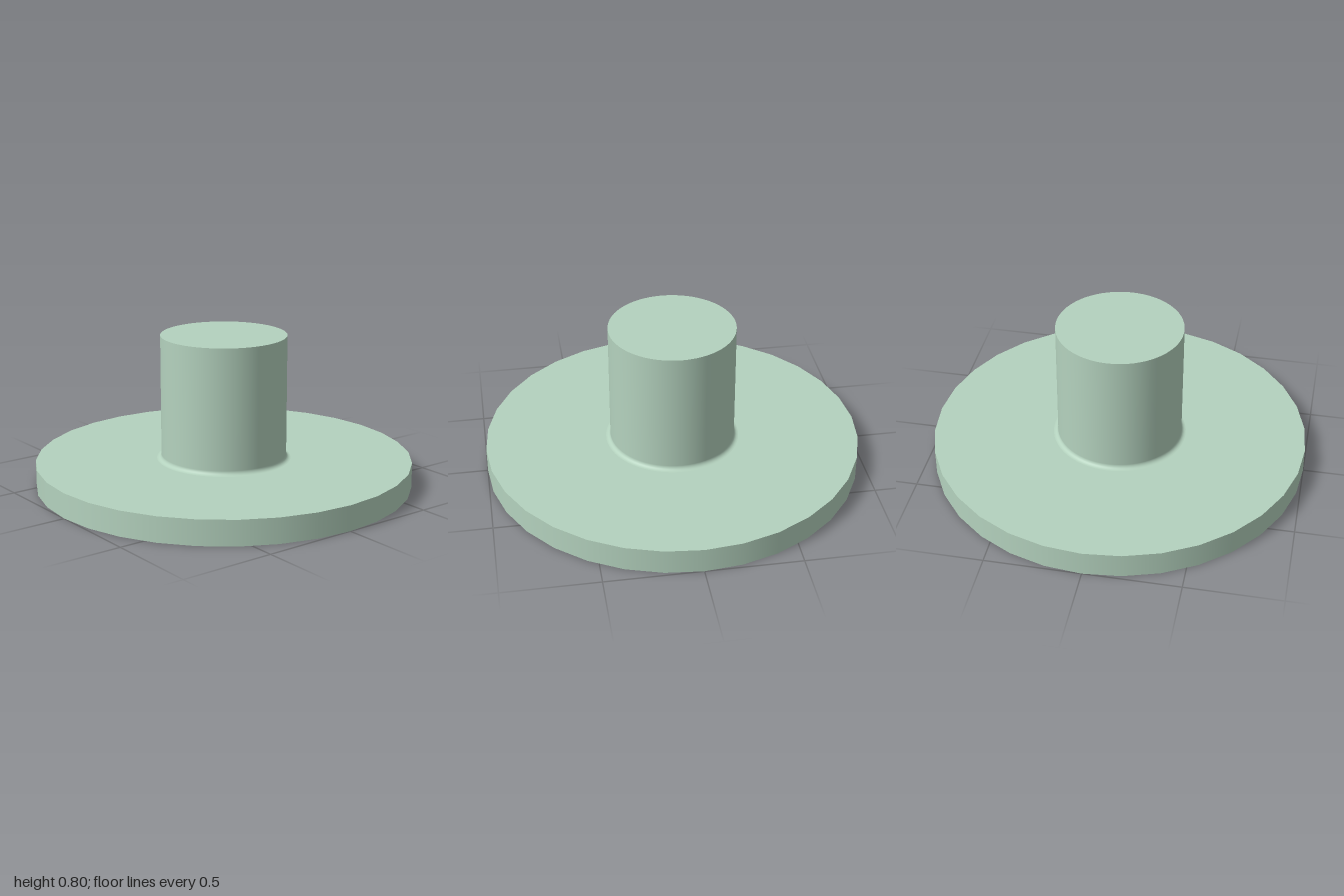
import * as THREE from 'three';

export function createModel() {
  const model = new THREE.Group();
  const material = new THREE.MeshStandardMaterial({ color: 0xb4d2be });
  const add = (name, geometry, y = 0) => {
    const mesh = new THREE.Mesh(geometry, material);
    mesh.name = name;
    mesh.position.y = y;
    model.add(mesh);
  };

  const baseHeight = 0.133, height = 0.8, stemRadius = 0.333, fillet = 0.024;

  // Wide round base plate
  add('base', new THREE.CylinderGeometry(1, 1, baseHeight, 32), baseHeight / 2);

  // Stem wall, flowing out into the base through a small quarter-round fillet
  const profile = [];
  for (let i = 0; i <= 6; i++) {
    const a = (i / 6) * Math.PI / 2;
    profile.push(new THREE.Vector2(
      stemRadius + fillet * (1 - Math.sin(a)),
      baseHeight + fillet * (1 - Math.cos(a))
    ));
  }
  profile.push(new THREE.Vector2(stemRadius, height));
  add('stem', new THREE.LatheGeometry(profile, 64));

  // Flat, sharp-edged top of the stem
  add('stemTop', new THREE.CircleGeometry(stemRadius, 64).rotateX(-Math.PI / 2), height);

  return model;
}
